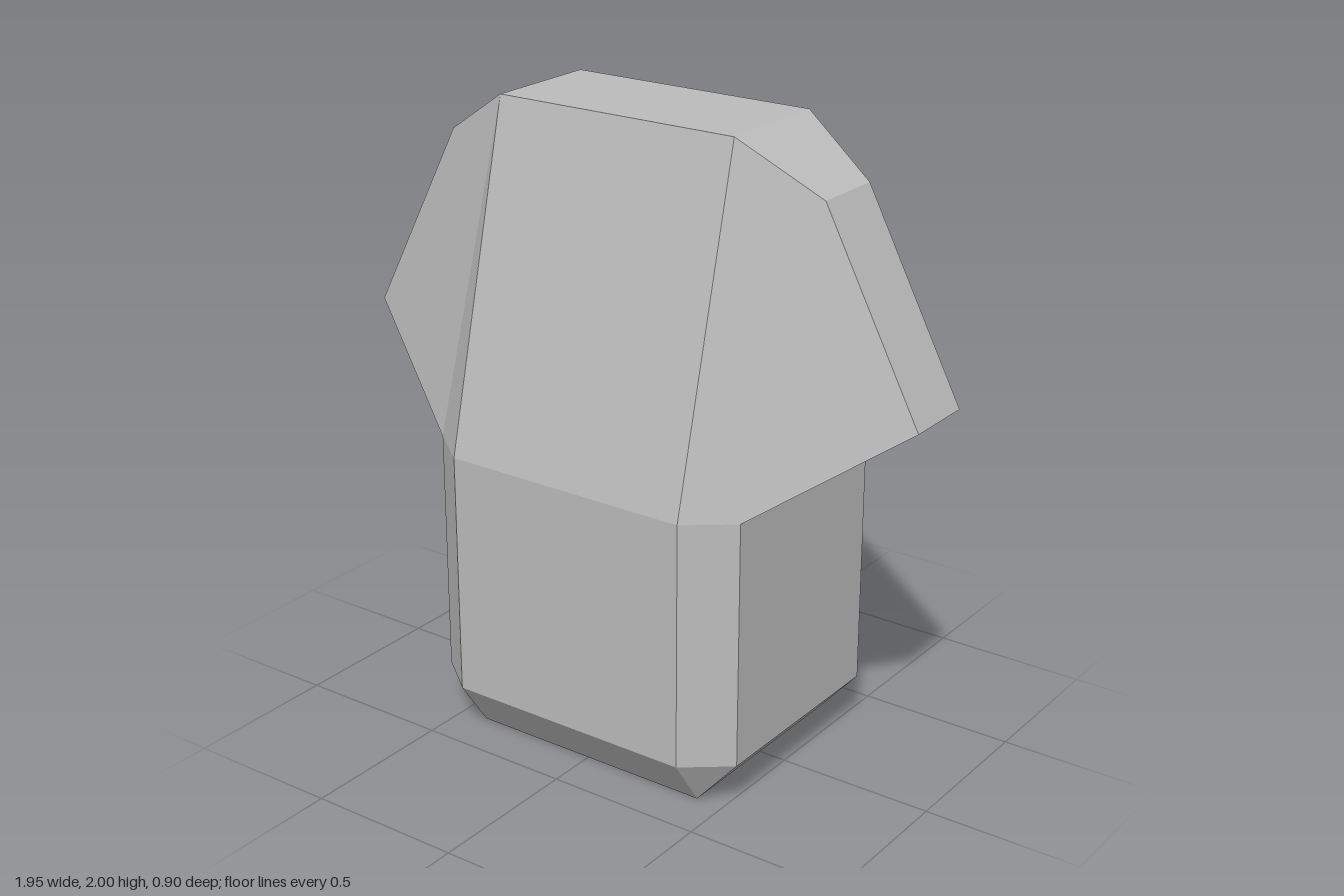
import * as THREE from 'three';

// Flat-faced mesh from polygons of the +x +z quarter, mirrored to all four quarters
function quarterMesh(name, material, faces) {
  const pos = [];
  for (const sx of [1, -1]) {
    for (const sz of [1, -1]) {
      for (const face of faces) {
        const pts = face.map(([x, y, z]) => [x * sx, y, z * sz]);
        if (sx * sz < 0) pts.reverse();
        for (let i = 1; i < pts.length - 1; i++) pos.push(...pts[0], ...pts[i], ...pts[i + 1]);
      }
    }
  }
  const geo = new THREE.BufferGeometry();
  geo.setAttribute('position', new THREE.Float32BufferAttribute(pos, 3));
  geo.computeVertexNormals();
  const mesh = new THREE.Mesh(geo, material);
  mesh.name = name;
  return mesh;
}

// Thin strip standing on y = 0 with its two upper corners rounded
function stripGeometry(width, height, r) {
  const w = width / 2;
  const s = new THREE.Shape();
  s.moveTo(-w, 0);
  s.lineTo(w, 0);
  s.lineTo(w, height - r);
  s.quadraticCurveTo(w, height, w - r, height);
  s.lineTo(-w + r, height);
  s.quadraticCurveTo(-w, height, -w, height - r);
  return new THREE.ShapeGeometry(s, 4);
}

export function createModel() {
  const mat = (name, color) => {
    const m = new THREE.MeshStandardMaterial({ color });
    m.name = name;
    return m;
  };
  const grey = mat('light grey', 0xbcbcbc);
  const slate = mat('dark slate', 0x4b5162);
  const black = mat('black', 0x111111);

  // Main levels and half sizes
  const yLow = 0.16, yKnee = 0.94, yTop = 2;
  const xIn = 0.41, xOut = 0.55, zIn = 0.34, zOut = 0.45, zTop = 0.19;
  const foot = [xIn, 0, zIn];
  const lowFront = [xIn, yLow, zOut], lowSide = [xOut, yLow, zIn];
  const kneeFront = [xIn, yKnee, zOut], kneeSide = [xOut, yKnee, zIn];
  const crown = [xIn, yTop, zTop];
  const shoulder = [0.66, 1.845, 0.115], wingTip = [0.977, 1.24, 0.115];
  const midX = ([, y, z]) => [0, y, z]; // same point on the x = 0 plane
  const midZ = ([x, y]) => [x, y, 0];   // same point on the z = 0 plane

  const model = new THREE.Group();
  model.name = 'model';

  // Lower body: bevelled block with chamfered corners
  model.add(quarterMesh('lowerBody', grey, [
    [midX(foot), foot, lowFront, midX(lowFront)],
    [foot, lowSide, lowFront],
    [foot, midZ(foot), midZ(lowSide), lowSide],
    [midX(lowFront), lowFront, kneeFront, midX(kneeFront)],
    [lowFront, lowSide, kneeSide, kneeFront],
    [lowSide, midZ(lowSide), midZ(kneeSide), kneeSide],
  ]));

  // Upper body: tapering front and back with a flat top
  model.add(quarterMesh('upperBody', grey, [
    [midX(kneeFront), kneeFront, crown, midX(crown)],
    [kneeFront, kneeSide, crown],
    [midX(crown), crown, midZ(crown), [0, yTop, 0]],
  ]));

  // Shoulder wings
  model.add(quarterMesh('wings', grey, [
    [kneeSide, wingTip, shoulder, crown],
    [crown, shoulder, midZ(shoulder), midZ(crown)],
    [wingTip, midZ(wingTip), midZ(shoulder), shoulder],
  ]));

  // Dark undersides
  model.add(quarterMesh('wingUndersides', slate, [
    [kneeSide, midZ(kneeSide), midZ(wingTip), wingTip],
  ]));
  model.add(quarterMesh('base', slate, [
    [[0, 0, 0], midZ(foot), foot, midX(foot)],
  ]));

  // Two strips on the back, folded over the knee line
  const tilt = Math.atan2(zOut - zTop, yTop - yKnee);
  const upper = stripGeometry(0.174, 0.4, 0.018);
  const lower = stripGeometry(0.174, 0.135, 0.018);
  for (const x of [0.185, -0.185]) {
    const strip = new THREE.Group();
    strip.name = x > 0 ? 'leftBackStrip' : 'rightBackStrip';
    const up = new THREE.Mesh(upper, black);
    up.name = 'upperStrip';
    up.rotation.set(tilt, Math.PI, 0);
    const down = new THREE.Mesh(lower, black);
    down.name = 'lowerStrip';
    down.rotation.set(0, Math.PI, Math.PI);
    strip.add(up, down);
    strip.position.set(x, yKnee, -zOut - 0.004);
    model.add(strip);
  }
  return model;
}
